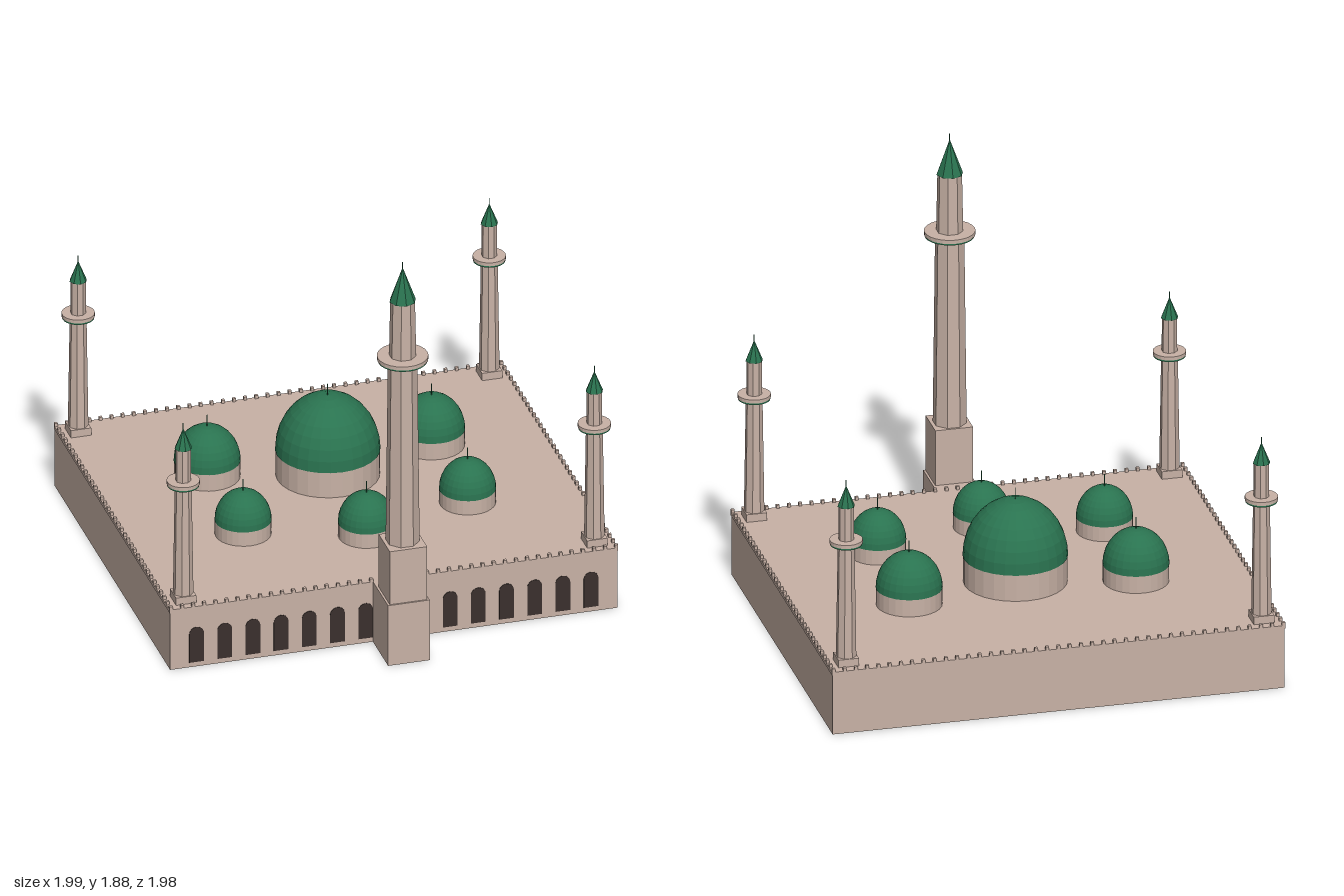
import * as THREE from 'three';

const stone = new THREE.MeshStandardMaterial({ color: 0xc8b2a6, flatShading: true });
const green = new THREE.MeshStandardMaterial({ color: 0x2a7350, flatShading: true });
const dark = new THREE.MeshStandardMaterial({ color: 0x3a302d });

const BACK = -0.99, FRONT = 0.75, HALF = 0.995, ROOF = 0.29;

function add(parent, name, geometry, material, x = 0, y = 0, z = 0) {
  const mesh = new THREE.Mesh(geometry, material);
  mesh.name = name;
  mesh.position.set(x, y, z);
  parent.add(mesh);
  return mesh;
}

// Box given by its centre in plan and its bottom and top heights
function block(parent, name, w, d, y0, y1, x, z) {
  return add(parent, name, new THREE.BoxGeometry(w, y1 - y0, d), stone, x, (y0 + y1) / 2, z);
}

// Upright cylinder or cone between two heights
function column(parent, name, r0, r1, y0, y1, sides, material, turn = 0) {
  const mesh = add(parent, name, new THREE.CylinderGeometry(r1, r0, y1 - y0, sides), material, 0, (y0 + y1) / 2, 0);
  mesh.rotation.y = turn;
  return mesh;
}

// Tapered octagonal shaft with a balcony, pointed cap and finial
function minaret(name, x, z, p) {
  const g = new THREE.Group();
  g.name = name;
  g.position.set(x, 0, z);
  const turn = Math.PI / 8;
  column(g, 'lowerShaft', p.r0, p.r1, p.base, p.balcony, 8, stone, turn);
  column(g, 'balconyUnderside', p.ring * 0.97, p.ring * 0.97, p.balcony - 0.008, p.balcony, 24, green);
  column(g, 'balcony', p.ring, p.ring, p.balcony, p.balcony + p.ringHeight, 24, stone);
  column(g, 'upperShaft', p.r1 * 0.93, p.r2, p.balcony, p.cap, 8, stone, turn);
  column(g, 'cap', p.capRadius, 0, p.cap, p.tip, 8, green);
  column(g, 'finial', 0.002, 0.002, p.tip - 0.01, p.tip + 0.025, 6, green);
  return g;
}

// Round drum carrying a slightly raised dome
function domedDrum(name, x, z, r, spring, top) {
  const g = new THREE.Group();
  g.name = name;
  g.position.set(x, 0, z);
  column(g, 'drum', r * 0.99, r * 0.99, ROOF - 0.02, spring, 28, stone);
  const dome = new THREE.SphereGeometry(r, 28, 8, 0, Math.PI * 2, 0, Math.PI / 2);
  dome.scale(1, (top - spring) / r, 1);
  add(g, 'dome', dome, green, 0, spring, 0);
  column(g, 'finial', 0.002, 0.002, top - 0.01, top + 0.053, 6, green);
  return g;
}

function archGeometry(w, h, depth) {
  const r = w / 2, s = new THREE.Shape();
  s.moveTo(-r, 0);
  s.lineTo(r, 0);
  s.lineTo(r, h - r);
  s.absarc(0, h - r, r, 0, Math.PI, false);
  s.closePath();
  return new THREE.ExtrudeGeometry(s, { depth, bevelEnabled: false, curveSegments: 10 });
}

export function createModel() {
  const model = new THREE.Group();
  model.name = 'domedHall';
  const depth = FRONT - BACK, midZ = (FRONT + BACK) / 2;

  // Main hall with a shallow cornice
  block(model, 'hall', HALF * 2 - 0.006, depth - 0.006, 0, 0.275, 0, midZ);
  block(model, 'cornice', HALF * 2, depth, 0.275, ROOF, 0, midZ);

  // Arched front openings either side of the tower
  const arch = archGeometry(0.065, 0.168, 0.004);
  for (let i = 1; i <= 7; i++)
    for (const s of [-1, 1]) add(model, 'archedWindow', arch, dark, s * i * 0.125, 0.022, FRONT - 0.005);

  // Small merlons along all four roof edges
  const merlon = new THREE.BoxGeometry(0.014, 0.016, 0.014);
  const inset = 0.007, nx = 40, nz = 35;
  const spots = [];
  for (let i = 0; i <= nx; i++) {
    const x = (i / nx * 2 - 1) * (HALF - inset);
    spots.push([x, BACK + inset], [x, FRONT - inset]);
  }
  for (let i = 1; i < nz; i++) {
    const z = BACK + inset + i / nz * (depth - 2 * inset);
    spots.push([-HALF + inset, z], [HALF - inset, z]);
  }
  const merlons = new THREE.InstancedMesh(merlon, stone, spots.length);
  const parapet = new THREE.Group();
  parapet.name = 'parapet';
  merlons.dispose();
  for (const [x, z] of spots) add(parapet, 'merlon', merlon, stone, x, ROOF + 0.007, z);
  model.add(parapet);

  // Domes
  model.add(domedDrum('mainDome', 0, -0.245, 0.225, 0.41, 0.668));
  model.add(domedDrum('frontCentreDome', 0, 0.337, 0.122, 0.357, 0.497));
  for (const s of [-1, 1]) {
    const side = s > 0 ? 'left' : 'right';
    model.add(domedDrum(side + 'BackDome', s * 0.498, -0.37, 0.143, 0.368, 0.53));
    model.add(domedDrum(side + 'FrontDome', s * 0.498, 0.17, 0.122, 0.357, 0.497));
  }

  // Four corner minarets on square plinths
  const corner = { r0: 0.044, r1: 0.036, r2: 0.033, base: 0.32, balcony: 0.85, ring: 0.071,
    ringHeight: 0.016, cap: 1.02, capRadius: 0.038, tip: 1.115 };
  for (const x of [-0.912, 0.912])
    for (const z of [-0.905, 0.672]) {
      const m = minaret('cornerMinaret', x, z, corner);
      block(m, 'plinth', 0.09, 0.09, ROOF - 0.01, 0.325, 0, 0);
      model.add(m);
    }

  // Tall tower on a stepped base in front of the hall
  const tower = minaret('frontTower', 0, 0.88, { r0: 0.073, r1: 0.063, r2: 0.053, base: 0.54, balcony: 1.42,
    ring: 0.11, ringHeight: 0.017, cap: 1.7, capRadius: 0.058, tip: 1.86 });
  block(tower, 'towerFoot', 0.185, 0.24, 0, ROOF, 0, -0.025);
  block(tower, 'towerPlinth', 0.166, 0.166, ROOF, 0.545, 0, 0.005);
  model.add(tower);
  return model;
}
